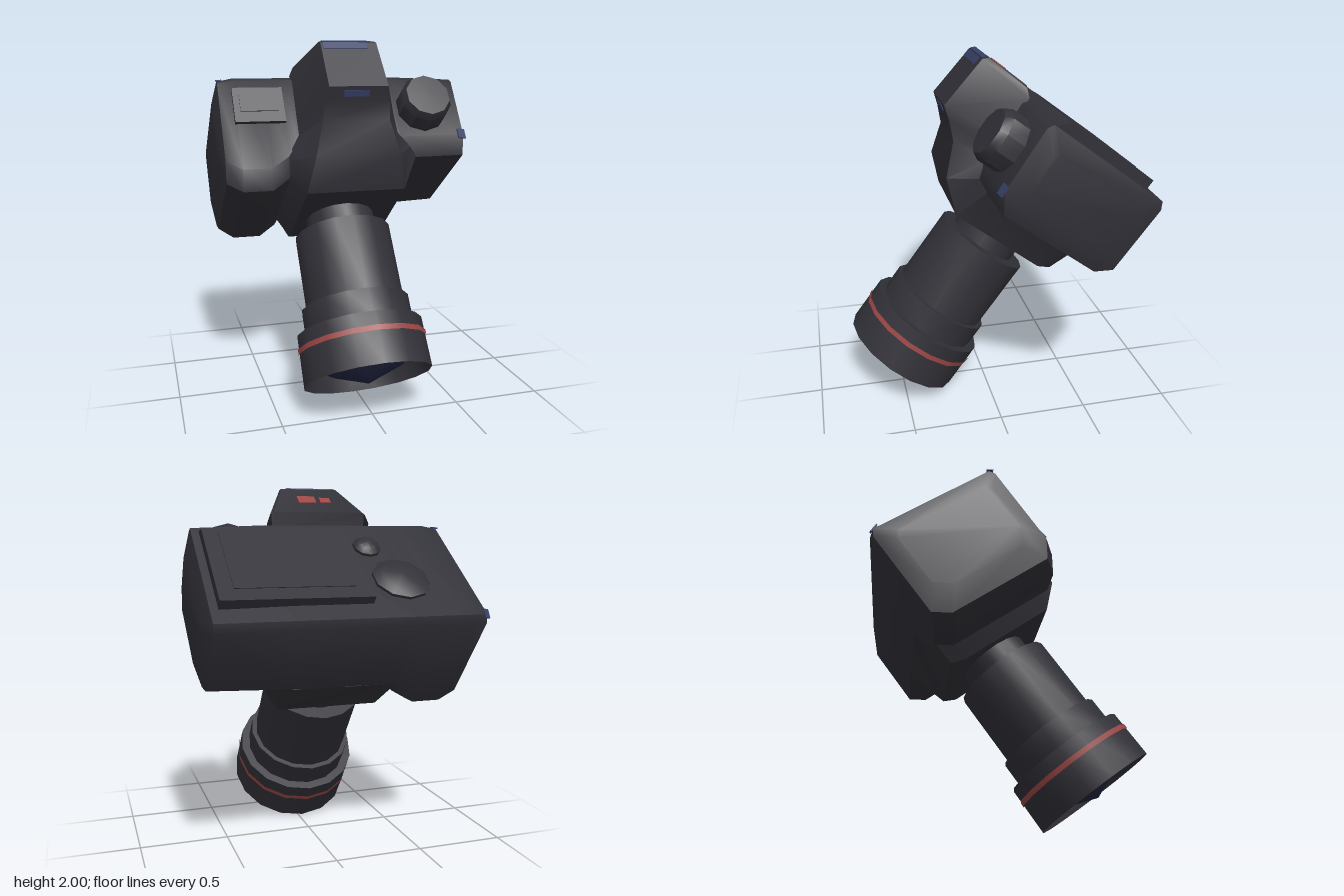
import * as THREE from 'three';
import { toCreasedNormals } from 'three/addons/utils/BufferGeometryUtils.js';

const mat = (name, color, side = THREE.FrontSide) => {
  const m = new THREE.MeshStandardMaterial({ color, side });
  m.name = name;
  return m;
};

// Skin a list of equally long point rows; closed rows get end caps
function loft(rows, closed, crease) {
  const n = rows[0].length, index = [];
  rows.slice(1).forEach((_, i) => {
    for (let j = 0; j < (closed ? n : n - 1); j++) {
      const k = (j + 1) % n;
      const a = i * n + j, b = i * n + k, c = a + n, d = b + n;
      index.push(a, b, d, a, d, c);
    }
  });
  if (closed) {
    const last = (rows.length - 1) * n;
    for (let j = 1; j < n - 1; j++) {
      index.push(0, j + 1, j, last, last + j, last + j + 1);
    }
  }
  const g = new THREE.BufferGeometry();
  g.setAttribute('position', new THREE.Float32BufferAttribute(rows.flat(2), 3));
  g.setIndex(index);
  return toCreasedNormals(g, crease);
}

const lathe = (pts, sides) =>
  toCreasedNormals(new THREE.LatheGeometry(pts.map(p => new THREE.Vector2(...p)), sides), 0.6);

export function createModel() {
  const black = mat('black casing', 0x303037);
  const shell = mat('black housing', 0x303037, THREE.DoubleSide);
  const red = mat('red accent', 0x9a4543);
  const blue = mat('blue accent', 0x363f66);
  const glassMat = mat('dark blue glass', 0x20243f);

  const model = new THREE.Group();
  model.name = 'camera';
  // Everything is built level, lens along +z, then pitched nose-down
  const tilt = new THREE.Group();
  tilt.name = 'tiltedCamera';
  tilt.rotation.x = 0.935;
  model.add(tilt);

  const add = (name, geometry, material, pos = [0, 0, 0], rot = [0, 0, 0]) => {
    const m = new THREE.Mesh(geometry, material);
    m.name = name;
    m.position.set(...pos);
    m.rotation.set(...rot);
    tilt.add(m);
    return m;
  };
  const box = (name, size, material, pos, rot) =>
    add(name, new THREE.BoxGeometry(...size), material, pos, rot);

  // Body with hand grip: x, front depth, edge inset
  const stations = [
    [-0.735, -1.06, 0.1], [-0.705, -0.94, 0.012], [-0.62, -0.88, 0], [-0.46, -0.88, 0],
    [-0.36, -0.95, 0], [-0.3, -1.04, 0], [0.3, -1.05, 0], [0.7, -1.06, 0.012], [0.735, -1.13, 0.11],
  ];
  add('body', loft(stations.map(([x, f, s]) => [
    [x, 0.93 - s, f - 0.1], [x, 0.86 - s, f], [x, 0.24 + s, f], [x, 0.155 + s, f - 0.06],
    [x, 0.15 + s, -1.52 + s], [x, 0.175 + s, -1.56 + s],
    [x, 0.925 - s, -1.56 + s], [x, 0.945 - s, -1.53 + s],
  ]), true, 0.7), black);

  // Lens housing rising into the viewfinder hump:
  // outer y, z, half width, then inner y, z, half width
  const housing = [
    [0.155, -1.1, 0.25, 0.16, -1.2, 0.35],
    [0.229, -0.866, 0.28, 0.2, -1.07, 0.36],
    [0.3, -0.838, 0.29, 0.28, -1.06, 0.4],
    [0.875, -0.845, 0.28, 0.86, -1.06, 0.4],
    [1.03, -0.98, 0.24, 0.92, -1.09, 0.35],
    [1.1, -1.16, 0.19, 0.93, -1.18, 0.29],
    [1.178, -1.235, 0.18, 0.93, -1.25, 0.29],
    [1.243, -1.285, 0.165, 0.93, -1.31, 0.29],
    [1.215, -1.59, 0.16, 0.93, -1.57, 0.29],
    [1.19, -1.615, 0.16, 0.965, -1.605, 0.27],
    [0.97, -1.615, 0.25, 0.965, -1.605, 0.265],
    [0.92, -1.54, 0.25, 0.92, -1.54, 0.26],
  ];
  add('lensHousing', loft(housing.map(([y, z, w, iy, iz, iw]) => [
    [-iw, iy, iz], [-w, y, z], [w, y, z], [iw, iy, iz],
  ]), false, 0.6), shell);

  // Stepped lens barrel with a recessed front, and the domed glass
  const lensAt = [-0.025, 0.529, 0], forward = [Math.PI / 2, 0, 0];
  add('lensBarrel', lathe([
    [0.2, -1.1], [0.2, -0.735], [0.278, -0.735], [0.278, -0.3], [0.305, -0.3],
    [0.305, -0.16], [0.352, -0.16], [0.355, 0.116], [0.322, 0],
  ], 16), black, lensAt, forward);
  add('lensGlass', lathe([[0.322, 0], [0.2, 0.07], [0.075, 0.116], [0, 0.145]], 16),
    glassMat, lensAt, forward);
  add('lensStripe', new THREE.CylinderGeometry(0.359, 0.359, 0.028, 16, 1, true), red,
    [lensAt[0], lensAt[1], -0.07], forward);

  // Rear screen: bevelled frame and inner panel
  const frame = new THREE.BoxGeometry(0.77, 0.6, 0.055);
  const p = frame.attributes.position;
  for (let i = 0; i < p.count; i++) {
    if (p.getY(i) > 0 && p.getZ(i) < 0) p.setY(i, 0.25);
  }
  frame.computeVertexNormals();
  add('screenFrame', frame, black, [0.275, 0.58, -1.5775]);
  box('screenPanel', [0.61, 0.43, 0.008], black, [0.275, 0.575, -1.605]);

  // Rear buttons
  for (const [name, x, y, r] of [['rearDial', -0.315, 0.455, 0.153], ['rearButton', -0.212, 0.724, 0.076]]) {
    add(name, lathe([[r, -0.01], [r, 0.015], [r * 0.7, 0.036], [0, 0.046]], 10), black,
      [x, y, -1.56], [-Math.PI / 2, 0, 0]);
  }

  // Top dial and top display
  add('topDial', lathe([[0.152, -0.05], [0.152, 0.1], [0.13, 0.14], [0, 0.145]], 10), black, [0.463, 0.935, -1.335]);
  box('topPlate', [0.28, 0.04, 0.22], black, [-0.493, 0.94, -1.365]);
  box('topDisplay', [0.21, 0.008, 0.12], black, [-0.493, 0.962, -1.38]);

  // Red marks on the back of the hump
  box('redMarkSmall', [0.06, 0.045, 0.008], red, [-0.065, 1.08, -1.616]);
  box('redMarkLarge', [0.1, 0.06, 0.008], red, [0.04, 1.085, -1.616]);

  // Blue worn edges on the hump and the body corners
  box('humpTopMark', [0.25, 0.008, 0.045], blue, [-0.025, 1.217, -1.566], [-0.1, 0, 0]);
  box('humpEdgeMark', [0.28, 0.03, 0.008], blue, [-0.01, 1.203, -1.604], [0.785, 0, 0]);
  box('humpFrontMark', [0.14, 0.035, 0.008], blue, [-0.01, 1.212, -1.261], [-0.656, 0, 0]);
  box('gripCornerMark', [0.05, 0.008, 0.06], blue, [0.685, 0.925, -1.16], [0.05, 0, -0.2]);
  box('upperCornerMark', [0.03, 0.035, 0.008], blue, [-0.695, 0.922, -1.55], [0.6, 0, 0]);
  box('lowerCornerMark', [0.03, 0.05, 0.008], blue, [-0.7, 0.19, -1.55], [-0.4, 0.3, 0]);

  return model;
}
